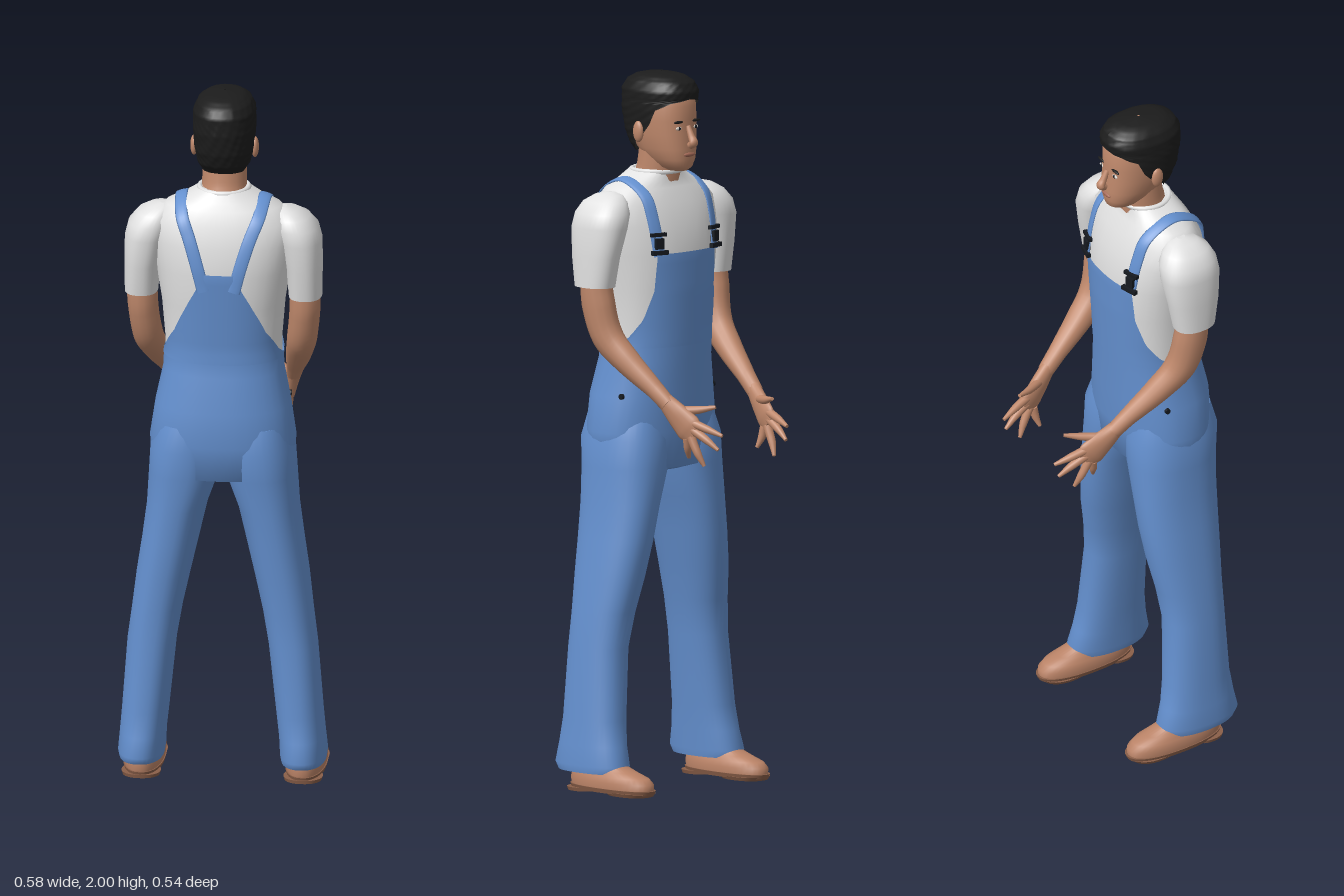
import * as THREE from 'three';

const V = (x, y, z) => new THREE.Vector3(x, y, z);
const mat = (name, color, side = THREE.FrontSide) => new THREE.MeshStandardMaterial({ name, color, side });
const N = 2.3; // roundness of the cross-sections

// Surface through rings of points; closed rings are wrapped and capped
function grid(rings, closed = true) {
  const n = rings[0].length, pos = [], idx = [];
  rings.forEach(r => r.forEach(p => pos.push(p.x, p.y, p.z)));
  const cols = closed ? n : n - 1;
  for (let i = 0; i < rings.length - 1; i++) for (let j = 0; j < cols; j++) {
    const a = i * n + j, b = i * n + (j + 1) % n, c = a + n, d = b + n;
    idx.push(a, c, b, b, c, d);
  }
  if (closed) [0, rings.length - 1].forEach((i, end) => {
    const base = pos.length / 3, mid = V(0, 0, 0);
    rings[i].forEach(p => { mid.addScaledVector(p, 1 / n); pos.push(p.x, p.y, p.z); });
    pos.push(mid.x, mid.y, mid.z);
    for (let j = 0; j < n; j++) {
      const a = base + j, b = base + (j + 1) % n;
      end ? idx.push(a, base + n, b) : idx.push(a, b, base + n);
    }
  });
  const g = new THREE.BufferGeometry();
  g.setAttribute('position', new THREE.Float32BufferAttribute(pos, 3));
  g.setIndex(idx);
  g.computeVertexNormals();
  return g;
}

// Row of a table [y, ...values] at height y
function rowAt(table, y) {
  let i = 0;
  while (i < table.length - 2 && y > table[i + 1][0]) i++;
  const a = table[i], b = table[i + 1], k = THREE.MathUtils.clamp((y - a[0]) / (b[0] - a[0]), 0, 1);
  return a.map((v, q) => v + (b[q] - v) * k);
}
const sp = v => Math.sign(v) * Math.abs(v) ** (2 / N);
// Section row: [y, halfWidth, zFront, zBack, centreX]; angle 0 is the face side (-z)
function onRing([y, hx, zf, zb, cx = 0], t, grow = 0) {
  return V(cx + (hx + grow) * sp(Math.sin(t)), y, (zf + zb) / 2 - ((zb - zf) / 2 + grow) * sp(Math.cos(t)));
}
function column(table, grow = 0, seg = 36) {
  return grid(table.map(r => Array.from({ length: seg }, (_, j) => onRing(r, j / seg * Math.PI * 2, grow))));
}
// Part of a column, [y, halfAngle] rows around angle t0
function patch(table, edge, t0, grow, rows = 18, seg = 28) {
  const y0 = edge[0][0], y1 = edge[edge.length - 1][0], rings = [];
  for (let i = 0; i <= rows; i++) {
    const y = y0 + (y1 - y0) * i / rows, w = rowAt(edge, y)[1];
    rings.push(Array.from({ length: seg + 1 }, (_, j) => onRing(rowAt(table, y), t0 + w * (2 * j / seg - 1), grow)));
  }
  return grid(rings, false);
}
function surfaceZ(table, x, y, front) {
  const [, hx, zf, zb] = rowAt(table, y);
  const d = (zb - zf) / 2 * Math.max(0, 1 - Math.abs(x / hx) ** N) ** (1 / N);
  return (zf + zb) / 2 + (front ? -d : d);
}
// Tapered tube; each stop is [x, y, z, sideRadius, upRadius]
function limb(stops, ref, steps = 16, seg = 14) {
  const curve = new THREE.CatmullRomCurve3(stops.map(s => V(s[0], s[1], s[2])));
  const rings = [];
  for (let i = 0; i <= steps; i++) {
    const u = i / steps, p = curve.getPoint(u), t = curve.getTangent(u);
    const f = u * (stops.length - 1), k = Math.min(Math.floor(f), stops.length - 2);
    const rad = q => THREE.MathUtils.lerp(stops[k][q] ?? stops[k][3], stops[k + 1][q] ?? stops[k + 1][3], f - k);
    const s = t.clone().cross(typeof ref === 'function' ? ref(p) : ref).normalize(), up = s.clone().cross(t);
    rings.push(Array.from({ length: seg }, (_, j) => {
      const a = j / seg * Math.PI * 2;
      return p.clone().addScaledVector(s, Math.cos(a) * rad(3)).addScaledVector(up, Math.sin(a) * rad(4));
    }));
  }
  return grid(rings);
}

const TORSO = [[0.9, 0.19, 0.01, 0.25], [1.0, 0.2, 0, 0.265], [1.1, 0.185, -0.003, 0.263], [1.2, 0.164, -0.008, 0.242],
  [1.28, 0.162, -0.012, 0.24], [1.4, 0.172, -0.018, 0.25], [1.5, 0.188, -0.02, 0.258], [1.58, 0.2, -0.005, 0.248],
  [1.64, 0.2, 0.015, 0.232], [1.68, 0.16, 0.035, 0.212], [1.7, 0.115, 0.043, 0.2], [1.725, 0.07, 0.045, 0.185]];
const HEAD = [[1.728, 0.022, 0.0, 0.06], [1.738, 0.04, -0.012, 0.09], [1.76, 0.056, -0.018, 0.13], [1.79, 0.068, -0.018, 0.16],
  [1.83, 0.075, -0.015, 0.18], [1.87, 0.078, -0.013, 0.19], [1.91, 0.078, -0.012, 0.19], [1.95, 0.07, 0, 0.18], [1.975, 0.045, 0.04, 0.15]];
const HAIR = [[1.775, 0.068, 0, 0.16], [1.8, 0.076, -0.01, 0.185], [1.84, 0.083, -0.016, 0.202], [1.9, 0.087, -0.016, 0.212],
  [1.95, 0.086, -0.02, 0.212], [1.975, 0.074, -0.008, 0.198], [1.99, 0.054, 0.018, 0.17], [1.998, 0.03, 0.05, 0.135], [2.0, 0.003, 0.088, 0.094]];

export function createModel() {
  const root = new THREE.Group();
  const denim = mat('denim blue', 0x6490cf, THREE.DoubleSide), shirt = mat('shirt white', 0xe2e2e2);
  const skin = mat('skin', 0xbf886b), hairMat = mat('hair black', 0x1c1c1c, THREE.DoubleSide);
  const dark = mat('buckle dark', 0x161a20), shoe = mat('shoe brown', 0xb98266), sole = mat('sole brown', 0x8a5f49);
  const eyeWhite = mat('eye white', 0xd8d0c8), lip = mat('lip', 0xa56a58);
  const add = (name, geo, m, p) => {
    const mesh = new THREE.Mesh(geo, m);
    mesh.name = name;
    if (p) mesh.position.set(...p);
    root.add(mesh);
    return mesh;
  };
  const blob = (name, m, p, s) => add(name, new THREE.SphereGeometry(1, 16, 12), m, p).scale.set(...s);

  // Shirt and overalls
  add('shirtBody', column(TORSO.slice(3)), shirt);
  const collar = add('collar', new THREE.TorusGeometry(0.068, 0.008, 8, 32), shirt, [0, 1.722, 0.112]);
  collar.rotation.x = Math.PI / 2;
  add('overallsWaist', column([[0.885, 0.12, 0.06, 0.2], ...TORSO.slice(0, 4), rowAt(TORSO, 1.245)], 0.004), denim);
  add('frontBib', patch(TORSO, [[1.24, 1.6], [1.27, 1.22], [1.32, 0.9], [1.4, 0.67], [1.505, 0.56]], 0, 0.005), denim);
  add('backBib', patch(TORSO, [[1.24, 1.6], [1.27, 1.22], [1.33, 0.8], [1.4, 0.52], [1.46, 0.3], [1.51, 0.2]], Math.PI, 0.005), denim);

  // Head
  add('neck', limb([[0, 1.66, 0.115, 0.072], [0, 1.73, 0.1, 0.063], [0, 1.82, 0.09, 0.06]], V(0, 0, 1)), skin);
  add('head', column(HEAD), skin);
  add('nose', limb([[0, 1.855, -0.012, 0.007], [0, 1.825, -0.026, 0.01], [0, 1.81, -0.034, 0.014, 0.012], [0, 1.8, -0.02, 0.01]], V(0, 0, 1)), skin);
  blob('mouth', lip, [0, 1.775, -0.017], [0.022, 0.006, 0.005]);
  const hair = patch(HAIR, [[1.775, 0.9], [1.8, 1.25], [1.83, 1.62], [1.86, 1.85], [1.9, 2.05], [1.92, 2.5], [1.93, Math.PI], [2, Math.PI]], Math.PI, 0, 45, 60);
  const hp = hair.attributes.position; // slight ripple for short tousled hair
  for (let i = 0; i < hp.count; i++) {
    const k = 1 + 0.012 * Math.sin(hp.getX(i) * 210 + hp.getY(i) * 90) * Math.sin(hp.getZ(i) * 130 + hp.getY(i) * 170);
    hp.setX(i, hp.getX(i) * k);
    hp.setZ(i, 0.095 + (hp.getZ(i) - 0.095) * k);
  }
  hair.computeVertexNormals();
  add('hair', hair, hairMat);

  for (const s of [-1, 1]) {
    const side = s > 0 ? 'left' : 'right';
    const on = (x, y, front, out) => [s * x, y, surfaceZ(TORSO, x, y, front) + (front ? -out : out)];
    // Face details
    const ez = surfaceZ(HEAD, 0.032, 1.85, true);
    blob(side + 'Eye', eyeWhite, [s * 0.032, 1.85, ez], [0.012, 0.005, 0.004]);
    blob(side + 'Pupil', dark, [s * 0.032, 1.85, ez - 0.002], [0.005, 0.005, 0.003]);
    blob(side + 'Brow', hairMat, [s * 0.033, 1.868, ez], [0.019, 0.004, 0.005]);
    blob(side + 'Ear', skin, [s * 0.085, 1.837, 0.098], [0.011, 0.03, 0.018]);

    // Sleeve, arm and hand
    const sleeve = [[1.415, 0.046, 0.064, 0.186, 0.229], [1.5, 0.05, 0.048, 0.2, 0.226], [1.58, 0.06, 0.034, 0.208, 0.215],
      [1.62, 0.062, 0.038, 0.204, 0.203], [1.65, 0.05, 0.055, 0.19, 0.19], [1.668, 0.033, 0.08, 0.165, 0.175], [1.675, 0.012, 0.11, 0.135, 0.165]];
    add(side + 'Sleeve', column(sleeve.map(r => [...r.slice(0, 4), s * r[4]])), shirt);
    const tube = (name, stops, ref, m, steps) => add(side + name, limb(stops.map(p => [s * p[0], ...p.slice(1)]), ref, steps), m);
    tube('Arm', [[0.228, 1.48, 0.125, 0.043], [0.226, 1.37, 0.115, 0.043, 0.05], [0.215, 1.275, 0.088, 0.042, 0.046],
      [0.2, 1.21, 0.025, 0.037], [0.181, 1.14, -0.06, 0.026], [0.172, 1.1, -0.105, 0.021, 0.024]], V(0, 0.5, -1), skin, 30);
    tube('Palm', [[0.174, 1.11, -0.095, 0.02, 0.024], [0.163, 1.075, -0.13, 0.019, 0.034], [0.153, 1.04, -0.165, 0.016, 0.042],
      [0.148, 1.02, -0.185, 0.01, 0.034]], V(0, 1, 0), skin);
    const fingers = { Thumb: [[0.155, 1.085, -0.14], [0.132, 1.09, -0.185], [0.112, 1.1, -0.23]],
      Index: [[0.15, 1.055, -0.175], [0.14, 1.04, -0.225], [0.128, 1.025, -0.272]],
      Middle: [[0.15, 1.035, -0.178], [0.142, 1.01, -0.225], [0.134, 0.985, -0.262]],
      Ring: [[0.151, 1.015, -0.172], [0.147, 0.97, -0.195], [0.138, 0.935, -0.212]],
      Pinky: [[0.152, 1.01, -0.16], [0.146, 0.98, -0.155], [0.134, 0.952, -0.148]] };
    for (const [name, p] of Object.entries(fingers))
      tube(name, p.map((q, i) => [...q, [0.013, 0.011, 0.005][i]]), V(0.3, 1, 0.4), skin, 8);

    // Strap and buckle
    const strap = [on(0.042, 1.46, false, 0.006), on(0.06, 1.53, false, 0.006), on(0.085, 1.61, false, 0.007), on(0.107, 1.665, false, 0.007),
      [s * 0.117, 1.705, 0.125], on(0.117, 1.665, true, 0.007), on(0.115, 1.6, true, 0.007), on(0.108, 1.5, true, 0.007)];
    add(side + 'Strap', limb(strap.map(p => [...p, 0.018, 0.004]), p => p.clone().sub(V(s * 0.06, 1.5, 0.12)), 48, 10), denim);
    [[1.56, 0.048, 0.01], [1.535, 0.026, 0.03], [1.51, 0.05, 0.012]].forEach(([y, w, h], i) => {
      const b = add(side + 'Buckle' + i, new THREE.BoxGeometry(w, h, 0.012), dark, on(0.11, y, true, 0.012));
      b.rotation.y = s * -0.25;
    });
    const button = add(side + 'HipButton', new THREE.CylinderGeometry(0.008, 0.008, 0.008, 14), dark, [s * 0.18, 1.105, 0.07]);
    button.rotation.z = Math.PI / 2;

    // Trouser leg and shoe
    const leg = [[0.055, 0.062, 0.02, 0.25, 0.226], [0.075, 0.065, 0.012, 0.262, 0.226], [0.13, 0.064, 0.028, 0.25, 0.222], [0.2, 0.065, 0.04, 0.24, 0.215],
      [0.4, 0.068, 0.053, 0.234, 0.197], [0.5, 0.07, 0.04, 0.235, 0.182], [0.6, 0.075, 0.02, 0.24, 0.165], [0.7, 0.079, 0.008, 0.245, 0.146],
      [0.8, 0.084, 0.002, 0.25, 0.128], [0.9, 0.099, 0, 0.258, 0.107], [0.98, 0.1, 0, 0.266, 0.101], [1.05, 0.085, 0.02, 0.25, 0.095]];
    add(side + 'TrouserLeg', column(leg.map(r => [...r.slice(0, 4), s * r[4]])), denim);
    const X = s * 0.226;
    add(side + 'ShoeUpper', column([[0.016, 0.055, -0.088, 0.205, X], [0.035, 0.056, -0.088, 0.208, X], [0.05, 0.05, -0.072, 0.205, X],
      [0.063, 0.043, -0.03, 0.2, X], [0.08, 0.038, 0.02, 0.195, X], [0.12, 0.036, 0.07, 0.19, X]]), shoe);
    add(side + 'Sole', column([[0.006, 0.055, -0.09, 0.206, X], [0.018, 0.058, -0.095, 0.21, X]]), sole);
    add(side + 'Heel', column([[0, 0.052, 0.11, 0.208, X], [0.01, 0.055, 0.11, 0.21, X]]), sole);
    add(side + 'SoleFront', column([[0, 0.05, -0.08, 0.06, X], [0.01, 0.055, -0.088, 0.07, X]]), sole);
  }
  return root;
}
